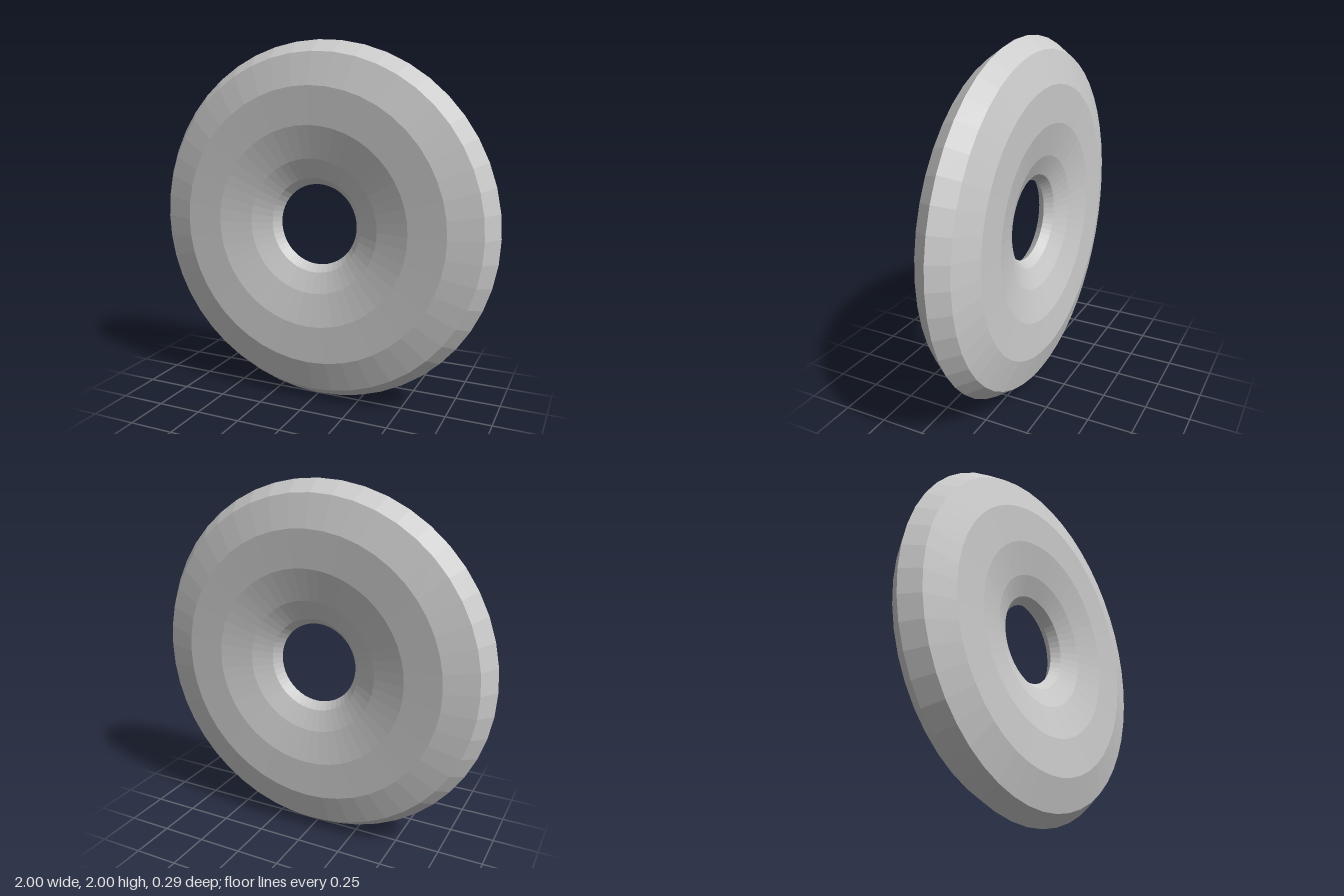
import * as THREE from 'three';

export function createModel() {
  const group = new THREE.Group();

  // Half cross-section from the hole to the rim: [radius, half thickness]
  const half = [
    [0.227, 0], [0.265, 0.047], [0.375, 0.095], [0.555, 0.138],
    [0.76, 0.145], [0.935, 0.095], [1, 0],
  ];

  // Mirror it into a closed loop: along one face to the rim, back along the other
  const loop = [
    ...half.map(([r, t]) => new THREE.Vector2(r, -t)),
    ...half.slice(0, -1).reverse().map(([r, t]) => new THREE.Vector2(r, t)),
  ];

  // Faceted ring standing upright, its axis along z
  const geometry = new THREE.LatheGeometry(loop, 48);
  geometry.rotateX(Math.PI / 2);
  const ring = new THREE.Mesh(
    geometry,
    new THREE.MeshStandardMaterial({ color: 0xcccccc, flatShading: true })
  );
  ring.name = 'ringDisc';
  ring.position.y = 1;
  group.add(ring);

  return group;
}
